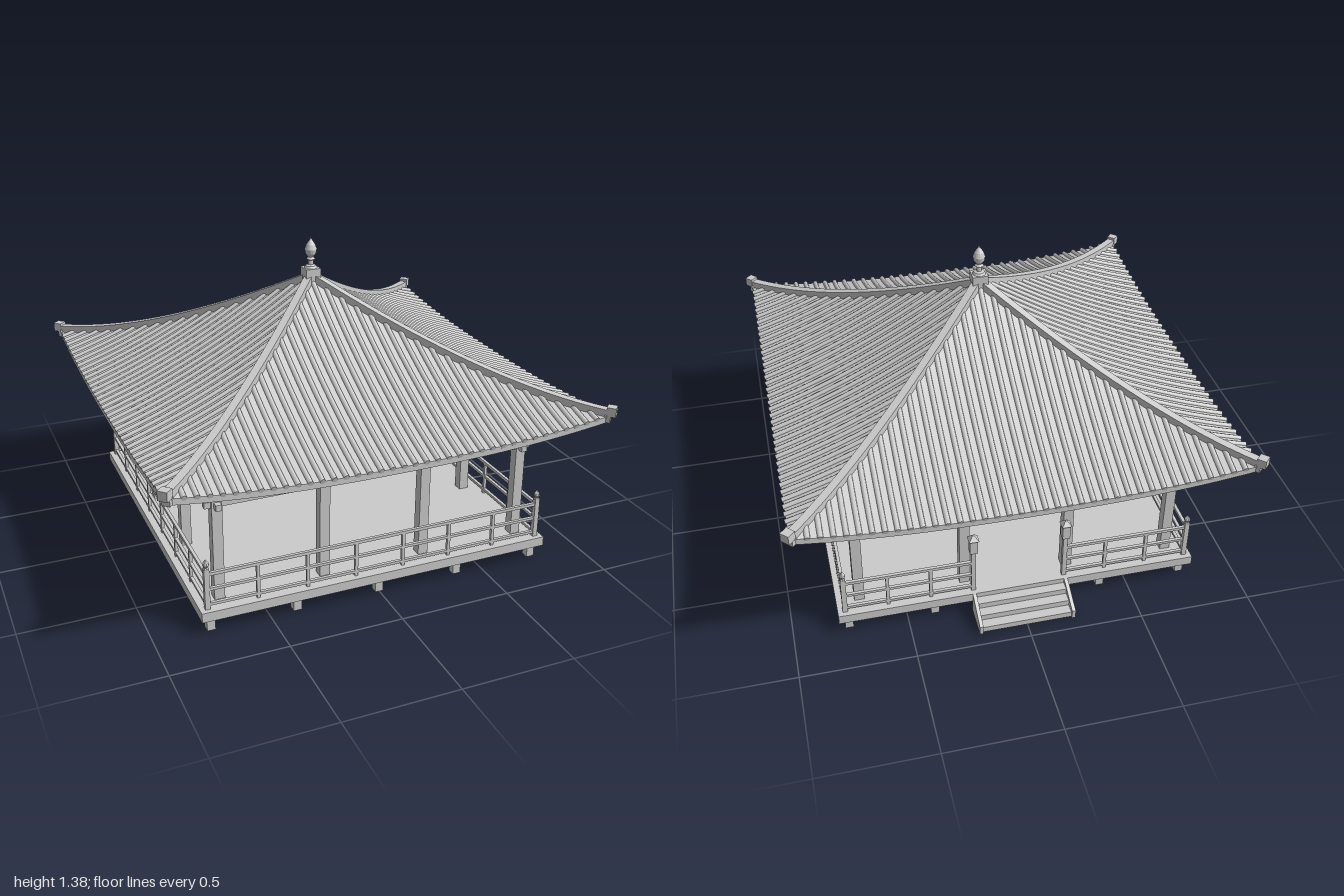
import * as THREE from 'three';

const R = 0.97, DECK = 0.105;
const mat = new THREE.MeshStandardMaterial({ color: 0xcccccc });
const flat = new THREE.MeshStandardMaterial({ color: 0xcccccc, flatShading: true });

function add(parent, name, geo, x = 0, y = 0, z = 0, m = mat) {
  const mesh = new THREE.Mesh(geo, m);
  mesh.name = name;
  mesh.position.set(x, y, z);
  parent.add(mesh);
  return mesh;
}
// Box given by its bottom and top heights
function box(parent, name, w, y0, y1, d, x = 0, z = 0) {
  return add(parent, name, new THREE.BoxGeometry(w, y1 - y0, d), x, (y0 + y1) / 2, z);
}
function lathe(parent, name, pts, x, z, sides = 16) {
  const geo = new THREE.LatheGeometry(pts.map(p => new THREE.Vector2(...p)), sides);
  return add(parent, name, geo, x, 0, z, flat);
}
// Runs build once for each of the four sides, turned about the centre
function fourSides(parent, name, build) {
  for (let k = 0; k < 4; k++) {
    const side = new THREE.Group();
    side.name = name;
    side.rotation.y = k * Math.PI / 2;
    build(side, k);
    parent.add(side);
  }
}
// Surface through rows of points
function loft(rows) {
  const n = rows[0].length, index = [];
  for (let j = 0; j < rows.length - 1; j++) {
    for (let i = 0; i < n - 1; i++) {
      const a = j * n + i, b = a + n;
      index.push(a, b, a + 1, a + 1, b, b + 1);
    }
  }
  const geo = new THREE.BufferGeometry();
  geo.setAttribute('position', new THREE.Float32BufferAttribute(rows.flat(2), 3));
  geo.setIndex(index);
  geo.computeVertexNormals();
  return geo;
}
// Concave roof slope whose eaves lift towards the corners
function roofY(x, z) {
  const t = Math.max(Math.abs(x), Math.abs(z), 1e-6);
  const s = Math.min(Math.abs(x), Math.abs(z)) / t, u = 1 - t / R;
  return 0.69 + 0.5 * (0.65 * u + 0.35 * u * u) + 0.055 * s ** 2.5 * (t / R) ** 4;
}
function roofRow(t, drop) {
  return Array.from({ length: 33 }, (_, i) => {
    const x = (i / 16 - 1) * t;
    return [x, roofY(x, t) - drop, t];
  });
}

function buildRoof(root) {
  const ts = Array.from({ length: 17 }, (_, j) => 0.002 + (R - 0.002) * j / 16);
  fourSides(root, 'roofSlope', side => {
    add(side, 'roofSurface', loft(ts.map(t => roofRow(t, 0))));
    add(side, 'eaveEdge', loft([roofRow(R, 0), roofRow(R, 0.027)]));
    add(side, 'roofUnderside', loft([...ts].reverse().map(t => roofRow(t, 0.027))));
    // Rows of round cover tiles running down the slope
    for (let i = -19; i <= 19; i++) {
      const x = i * 0.05, z0 = Math.abs(x) + 0.005;
      const pts = Array.from({ length: 9 }, (_, k) => {
        const z = z0 + (R + 0.003 - z0) * k / 8;
        return new THREE.Vector3(x, roofY(x, z), z);
      });
      const n = Math.max(2, Math.ceil((R - z0) * 16));
      add(side, 'tileRow', new THREE.TubeGeometry(new THREE.CatmullRomCurve3(pts), n, 0.012, 8));
      const end = add(side, 'tileEnd', new THREE.CircleGeometry(0.012, 8), x, roofY(x, R), R + 0.003);
      end.rotation.x = 0.3;
    }
  });
  // Hip ridges with upturned end blocks
  fourSides(root, 'hip', side => {
    const arm = new THREE.Group();
    arm.name = 'hipRidge';
    arm.rotation.y = Math.PI / 4;
    side.add(arm);
    const pts = Array.from({ length: 21 }, (_, i) => {
      const t = R * i / 20;
      return new THREE.Vector2(t * Math.SQRT2, roofY(t, t));
    });
    const shape = new THREE.Shape([
      ...pts.map(p => new THREE.Vector2(p.x, p.y - 0.03)),
      ...[...pts].reverse().map(p => new THREE.Vector2(p.x, p.y + 0.027)),
    ]);
    add(arm, 'hipBar', new THREE.ExtrudeGeometry(shape, { depth: 0.036, bevelEnabled: false }), 0, 0, -0.018);
    box(arm, 'hipEndBlock', 0.04, 0.745, 0.786, 0.042, 1.374);
  });
  // Crown
  box(root, 'crownBase', 0.07, 1.17, 1.235, 0.07);
  lathe(root, 'crownFinial', [[0.03, 1.235], [0.024, 1.245], [0.012, 1.25], [0.012, 1.27], [0.02, 1.275],
    [0.013, 1.285], [0.024, 1.3], [0.028, 1.32], [0.02, 1.342], [0.008, 1.36], [0, 1.375]], 0, 0);
}

function buildFrame(root) {
  fourSides(root, 'frameSide', side => {
    for (const x of [-0.7, -0.233, 0.233]) box(side, 'post', 0.045, DECK, 0.75, 0.045, x, 0.7);
    box(side, 'lowerBeam', 1.5, 0.525, 0.552, 0.026, 0, 0.7);
    box(side, 'upperBeam', 1.5, 0.667, 0.735, 0.035, 0, 0.7);
    // Lattice bars in each of the three bays
    for (let bay = -1; bay <= 1; bay++) {
      for (let i = 0; i < 8; i++) {
        box(side, 'latticeBar', 0.01, 0.55, 0.67, 0.01, bay * 0.467 + (i - 3.5) * 0.05, 0.7);
      }
    }
  });
}

function buildDeck(root) {
  box(root, 'deck', 1.605, 0.062, DECK, 1.605);
  const grid = [-0.757, -0.378, 0, 0.378, 0.757];
  for (const z of grid) {
    box(root, 'joist', 1.56, 0.047, 0.064, 0.03, 0, z);
    for (const x of grid) box(root, 'foot', 0.036, 0, 0.05, 0.036, x, z);
  }
}

// Three rails and evenly spaced balusters from x0 to x1
function railing(side, x0, x1, bays) {
  const w = x1 - x0, mid = (x0 + x1) / 2;
  for (const [y, h] of [[0.265, 0.014], [0.195, 0.012], [0.125, 0.012]]) {
    box(side, 'rail', w + 0.02, y - h / 2, y + h / 2, 0.014, mid, 0.77);
  }
  for (let i = 1; i < bays; i++) box(side, 'baluster', 0.014, DECK, 0.262, 0.014, x0 + w * i / bays, 0.77);
}

function buildRailings(root) {
  fourSides(root, 'railingSide', (side, k) => {
    box(side, 'cornerPost', 0.022, DECK, 0.292, 0.022, 0.77, 0.77);
    lathe(side, 'cornerFinial', [[0.013, 0.29], [0.009, 0.298], [0.014, 0.308], [0.012, 0.318], [0, 0.334]], 0.77, 0.77, 8);
    if (k !== 2) return railing(side, -0.77, 0.77, 7);
    // Entrance side: gap between two lantern posts
    railing(side, -0.77, -0.205, 3);
    railing(side, 0.205, 0.77, 3);
    for (const x of [-0.205, 0.205]) {
      box(side, 'lanternPost', 0.02, DECK, 0.33, 0.02, x, 0.77);
      box(side, 'lanternBox', 0.034, 0.328, 0.4, 0.034, x, 0.77);
      const cap = add(side, 'lanternCap', new THREE.CylinderGeometry(0.006, 0.032, 0.022, 4), x, 0.41, 0.77, flat);
      cap.rotation.y = Math.PI / 4;
    }
  });
}

function buildStairs(root) {
  const stairs = new THREE.Group();
  stairs.name = 'stairs';
  stairs.rotation.y = Math.PI;
  root.add(stairs);
  const shape = new THREE.Shape([[0.8, 0], [0.942, 0], [0.942, 0.042], [0.81, DECK], [0.8, DECK]].map(p => new THREE.Vector2(...p)));
  for (const x of [-0.215, 0.199]) {
    const geo = new THREE.ExtrudeGeometry(shape, { depth: 0.016, bevelEnabled: false });
    geo.rotateY(-Math.PI / 2).translate(0.016, 0, 0);
    add(stairs, 'stringer', geo, x);
  }
  for (let i = 0; i < 3; i++) box(stairs, 'step', 0.4, 0, 0.027 * (3 - i), 0.044, 0, 0.822 + i * 0.044);
}

function buildBell(root) {
  lathe(root, 'hangingBell', [[0, 0.41], [0.046, 0.41], [0.048, 0.422], [0.058, 0.432], [0.066, 0.47], [0.069, 0.51],
    [0.069, 0.532], [0.05, 0.54], [0.05, 0.562], [0.054, 0.565], [0.054, 0.575], [0, 0.575]], 0, 0, 24);
  add(root, 'bellRod', new THREE.CylinderGeometry(0.004, 0.004, 0.58, 8), 0, 0.86, 0);
}

export function createModel() {
  const root = new THREE.Group();
  root.name = 'pavilion';
  for (const build of [buildDeck, buildStairs, buildRailings, buildFrame, buildBell, buildRoof]) build(root);
  return root;
}
